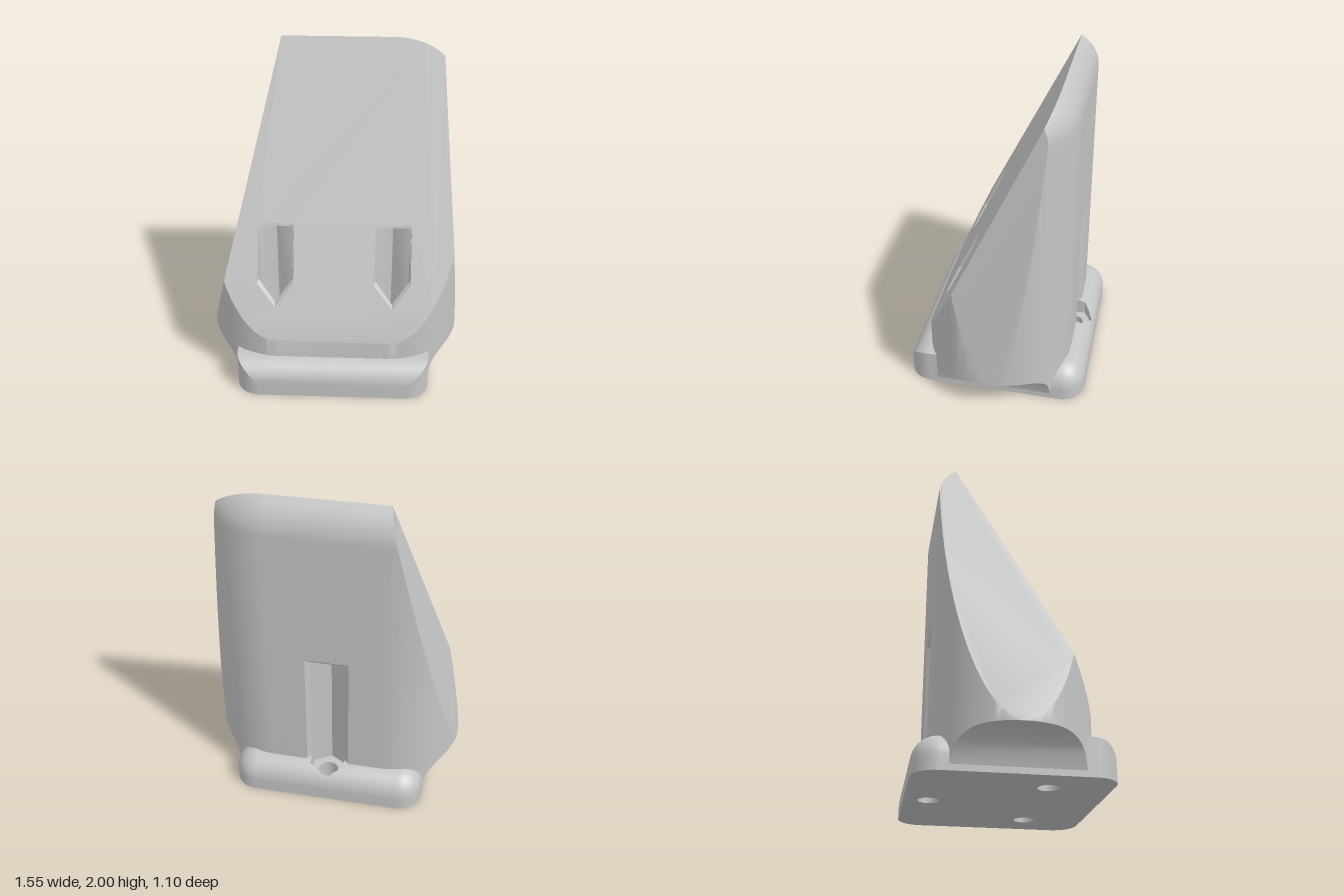
import * as THREE from 'three';
import { toCreasedNormals } from 'three/addons/utils/BufferGeometryUtils.js';

const V = (x, y, z) => new THREE.Vector3(x, y, z);
const grey = new THREE.MeshStandardMaterial({ color: 0xc4c4c4, side: THREE.DoubleSide });
grey.name = 'light grey';

// Main sizes
const END_X = 0.335, END_R = 0.44;                      // stadium-shaped body
const TOP_Y = 1.8, TOP_R = 0.243;                       // rounded top edge
const BASE_X = 0.59, CX = 0.45, CZ = 0.41, BASE_R = 0.14, BASE_Y = 0.08; // base plate
const HEX_X = 0.104, HEX_R = 0.12, FLOOR = 0.12, CEIL = 0.97, HOLE_R = 0.06; // sockets
const BACK_Z = -0.41, FRONT_X = 0.355, FRONT_Z = 0.2;   // socket centres

// Slanted cutting planes
const frontZ = y => -0.335 + (2 - y) * 0.464;
const frontY = z => 2 - (z + 0.335) / 0.464;
const leftX = y => -0.775 + (y - 0.22) * 0.247;
const rightX = y => 0.775 - (y - 0.22) * 0.083;
// Concave underside of the overhanging ends
const underY = x => 0.035 + Math.sqrt(Math.max(0, 0.185 ** 2 - (0.775 - Math.max(BASE_X, Math.abs(x))) ** 2));

// Triangle helpers
function fan(out, pts, flip = false) {
  for (let i = 1; i < pts.length - 1; i++) {
    const t = flip ? [pts[0], pts[i + 1], pts[i]] : [pts[0], pts[i], pts[i + 1]];
    if (new THREE.Triangle(...t).getArea() > 1e-9) out.push(...t);
  }
}

function loft(out, loops, closed = true, flip = false) {
  for (let k = 0; k < loops.length - 1; k++) {
    const a = loops[k], b = loops[k + 1], n = a.length;
    for (let i = 0; i < (closed ? n : n - 1); i++) {
      const j = (i + 1) % n;
      fan(out, [a[i], a[j], b[j], b[i]], flip);
    }
  }
}

// Flat face with holes, drawn in 2D and placed by a rule
function face(out, outline, holes, place, flip = false) {
  const to2 = l => l.map(p => new THREE.Vector2(p[0], p[1]));
  const o = to2(outline), h = holes.map(to2), all = [o, ...h].flat();
  for (const [a, b, c] of THREE.ShapeUtils.triangulateShape(o, h)) {
    const ccw = THREE.ShapeUtils.area([all[a], all[b], all[c]]) > 0;
    fan(out, [a, b, c].map(i => place(all[i].x, all[i].y)), ccw === flip);
  }
}

function mesh(name, points) {
  const g = new THREE.BufferGeometry().setFromPoints(points).scale(100, 100, 100);
  const m = new THREE.Mesh(toCreasedNormals(g, 0.45).scale(0.01, 0.01, 0.01), grey);
  m.name = name;
  return m;
}

// Keep the part of a polygon where dist <= 0
function clip(poly, dist) {
  const out = [];
  poly.forEach((p, i) => {
    const q = poly[(i + 1) % poly.length], a = dist(p), b = dist(q);
    if (a <= 1e-9) out.push(p);
    if ((a < -1e-9 && b > 1e-9) || (a > 1e-9 && b < -1e-9)) out.push(p.clone().lerp(q, a / (a - b)));
  });
  return out;
}

// Convex outline of the points lying on a cutting plane
function capOutline(polys, dist, to2) {
  const pts = [];
  for (const p of polys.flat()) {
    const q = to2(p);
    if (Math.abs(dist(p)) < 1e-6 && !pts.some(r => Math.hypot(r[0] - q[0], r[1] - q[1]) < 1e-5)) pts.push(q);
  }
  const mid = k => pts.reduce((s, p) => s + p[k], 0) / pts.length, u = mid(0), v = mid(1);
  return pts.sort((a, b) => Math.atan2(a[1] - v, a[0] - u) - Math.atan2(b[1] - v, b[0] - u));
}

const circle = (cx, cz) => Array.from({ length: 24 }, (_, i) => {
  const a = i / 24 * Math.PI * 2;
  return [cx + HOLE_R * Math.sin(a), cz + HOLE_R * Math.cos(a)];
});
const hexagon = (cx, cz) => [[0, 1], [1, 0.5], [1, -0.5], [0, -1], [-1, -0.5], [-1, 0.5]]
  .map(([x, z]) => [cx + x * HEX_X, cz + z * HEX_R]);
const holeCentres = [[FRONT_X, FRONT_Z], [-FRONT_X, FRONT_Z], [0, BACK_Z]];

// Rim of a front socket, drawn on the sloping face
const frontRim = cx => [[0, 0.52], [0.11, 0.65], [0.11, 0.985], [-0.11, 0.985], [-0.11, 0.65]]
  .map(([x, y]) => [cx + x, y]);

function makeBody() {
  const out = [], a0 = Math.acos((BASE_X - END_X) / END_R);
  const quarter = [];
  for (let i = 0; i < 8; i++) quarter.push(Math.PI / 2 + (a0 - Math.PI / 2) * i / 8);
  for (let i = 0; i < 16; i++) quarter.push(a0 * (1 - i / 16));
  const angles = [...quarter, 0, ...quarter.map(a => -a).reverse()];
  const ring = (r, yOf) => {
    const right = angles.map(a => [END_X + r * Math.cos(a), r * Math.sin(a)]);
    const left = right.map(([x, z]) => [-x, z]).reverse();
    return [...right, ...left].map(([x, z]) => V(x, yOf(x), z));
  };
  const rings = [ring(END_R, underY)];
  for (let i = 0; i <= 12; i++) {
    const t = i / 12 * Math.PI / 2;
    rings.push(ring(END_R - TOP_R * (1 - Math.cos(t)), () => TOP_Y + TOP_R * Math.sin(t)));
  }
  // Walls and rounded top, trimmed by the three planes
  const dists = [p => p.z - frontZ(p.y), p => leftX(p.y) - p.x, p => p.x - rightX(p.y)];
  let polys = [];
  for (let k = 0; k < rings.length - 1; k++) {
    const a = rings[k], b = rings[k + 1], n = a.length;
    for (let i = 0; i < n; i++) {
      if (k === 0 && i === angles.length - 1) continue; // flat back is made below
      const j = (i + 1) % n;
      polys.push([a[i], a[j], b[j], b[i]]);
    }
  }
  for (const d of dists) polys = polys.map(p => clip(p, d)).filter(p => p.length > 2);
  polys.forEach(p => fan(out, p));

  // Sloping front with two openings, and the slanted sides
  face(out, capOutline(polys, dists[0], p => [p.x, p.y]), [frontRim(FRONT_X), frontRim(-FRONT_X)],
    (x, y) => V(x, y, frontZ(y)));
  face(out, capOutline(polys, dists[1], p => [p.z, p.y]), [], (z, y) => V(leftX(y), y, z));
  face(out, capOutline(polys, dists[2], p => [p.z, p.y]), [], (z, y) => V(rightX(y), y, z), true);

  // Flat back with the slot cut out
  const b = 0.035, w = 0.13;
  face(out, [[-END_X, b], [-w, b], [-w, 1], [w, 1], [w, b], [END_X, b], [END_X, TOP_Y], [-END_X, TOP_Y]], [],
    (x, y) => V(x, y, -END_R), true);

  // Concave undersides of both ends
  for (const s of [1, -1]) {
    const rows = [];
    for (let i = 0; i <= 16; i++) {
      const a = a0 * (1 - i / 16), x = END_X + END_R * Math.cos(a), z = END_R * Math.sin(a);
      rows.push([V(s * x, underY(x), -z), V(s * x, underY(x), z)]);
    }
    loft(out, rows, false, s < 0);
  }
  return mesh('body', out);
}

const arcY = z => BASE_Y + Math.sqrt(Math.max(0, BASE_R ** 2 - (Math.abs(z) - CZ) ** 2));
const notchZ = x => BACK_Z - HEX_R + Math.abs(x) / HEX_X * HEX_R / 2;

// Base outline at one step of its rounded edge
function baseLoop(t, y) {
  const r = BASE_R * Math.cos(t), half = [], n = 10;
  for (let i = 0; i <= n; i++) {
    const a = (Math.PI / 2 - t) * (1 - i / n);
    half.push(V(CX + BASE_R * Math.cos(a), y, CZ + BASE_R * Math.sin(a)));
  }
  half.push(V(BASE_X, y, 0), V(CX + r, y, 0));
  for (let i = 0; i <= n; i++) {
    const a = Math.PI / 2 * i / n;
    half.push(V(CX + r * Math.cos(a), y, -CZ - r * Math.sin(a)));
  }
  half.push(V(HEX_X, y, -CZ - r));
  const strip = [1, 0.5, 0, -0.5, -1].map(k => {
    const x = k * HEX_X, z = Math.min(-CZ - r, notchZ(x));
    return V(x, z < -CZ - r - 1e-9 ? arcY(z) : y, z);
  });
  return [...half, ...strip, ...half.map(p => V(-p.x, p.y, p.z)).reverse()];
}

function makeBase() {
  const out = [], loops = [baseLoop(0, 0)];
  for (let i = 0; i <= 12; i++) {
    const t = i / 12 * Math.PI / 2;
    loops.push(baseLoop(t, BASE_Y + BASE_R * Math.sin(t)));
  }
  loft(out, loops);
  // Flat ledge in front of the body
  const y = BASE_Y + BASE_R;
  fan(out, [V(-BASE_X, y, 0.34), V(-BASE_X, y, CZ), V(BASE_X, y, CZ), V(BASE_X, y, 0.34)]);
  // Underside with three screw holes
  face(out, loops[0].map(p => [p.x, p.z]), holeCentres.map(c => circle(...c)), (x, z) => V(x, 0, z));
  return mesh('base', out);
}

// Screw hole and hexagonal floor shared by all sockets
function socketFloor(out, cx, cz) {
  const c = circle(cx, cz);
  loft(out, [c.map(([x, z]) => V(x, 0, z)), c.map(([x, z]) => V(x, FLOOR, z))], true, true);
  face(out, hexagon(cx, cz), [c], (x, z) => V(x, FLOOR, z), true);
}

function makeFrontSocket(name, cx) {
  const out = [], h = hexagon(cx, FRONT_Z);
  socketFloor(out, cx, FRONT_Z);
  const top = h.map(([x, z]) => V(x, z > FRONT_Z ? frontY(z) - 0.05 : CEIL, z));
  loft(out, [h.map(([x, z]) => V(x, FLOOR, z)), top], true, true);
  fan(out, [top[2], top[4], top[3]]);
  // Bevelled rim
  const rim = frontRim(cx).map(([x, y]) => V(x, y, frontZ(y)));
  loft(out, [[top[0], top[1], top[2], top[4], top[5]], rim], true, true);
  return mesh(name, out);
}

function makeBackSocket() {
  const out = [];
  socketFloor(out, 0, BACK_Z);
  // Slot walls and ceiling
  const u = [[HEX_X, BACK_Z], [HEX_X, BACK_Z + HEX_R / 2], [0, BACK_Z + HEX_R],
    [-HEX_X, BACK_Z + HEX_R / 2], [-HEX_X, BACK_Z]];
  loft(out, [u.map(([x, z]) => V(x, FLOOR, z)), u.map(([x, z]) => V(x, CEIL, z))], false);
  face(out, u, [], (x, z) => V(x, CEIL, z));
  // Bevelled rim
  const bevel = (x, y, z) => [V(x, FLOOR, z), V(x, y, z), V(-x, y, z), V(-x, FLOOR, z)];
  loft(out, [bevel(HEX_X, CEIL, BACK_Z), bevel(0.13, 1, -END_R)], false);
  // Pointed recess in the base
  const p = [[HEX_X, BACK_Z], [HEX_X, notchZ(HEX_X)], [HEX_X / 2, notchZ(HEX_X / 2)], [0, notchZ(0)],
    [-HEX_X / 2, notchZ(HEX_X / 2)], [-HEX_X, notchZ(HEX_X)], [-HEX_X, BACK_Z]];
  loft(out, [p.map(([x, z]) => V(x, FLOOR, z)), p.map(([x, z]) => V(x, arcY(z), z))], false, true);
  return mesh('backSlot', out);
}

export function createModel() {
  const group = new THREE.Group();
  group.name = 'wedgeFoot';
  group.add(makeBody(), makeBase(), makeBackSocket(),
    makeFrontSocket('leftSocket', FRONT_X), makeFrontSocket('rightSocket', -FRONT_X));
  return group;
}
